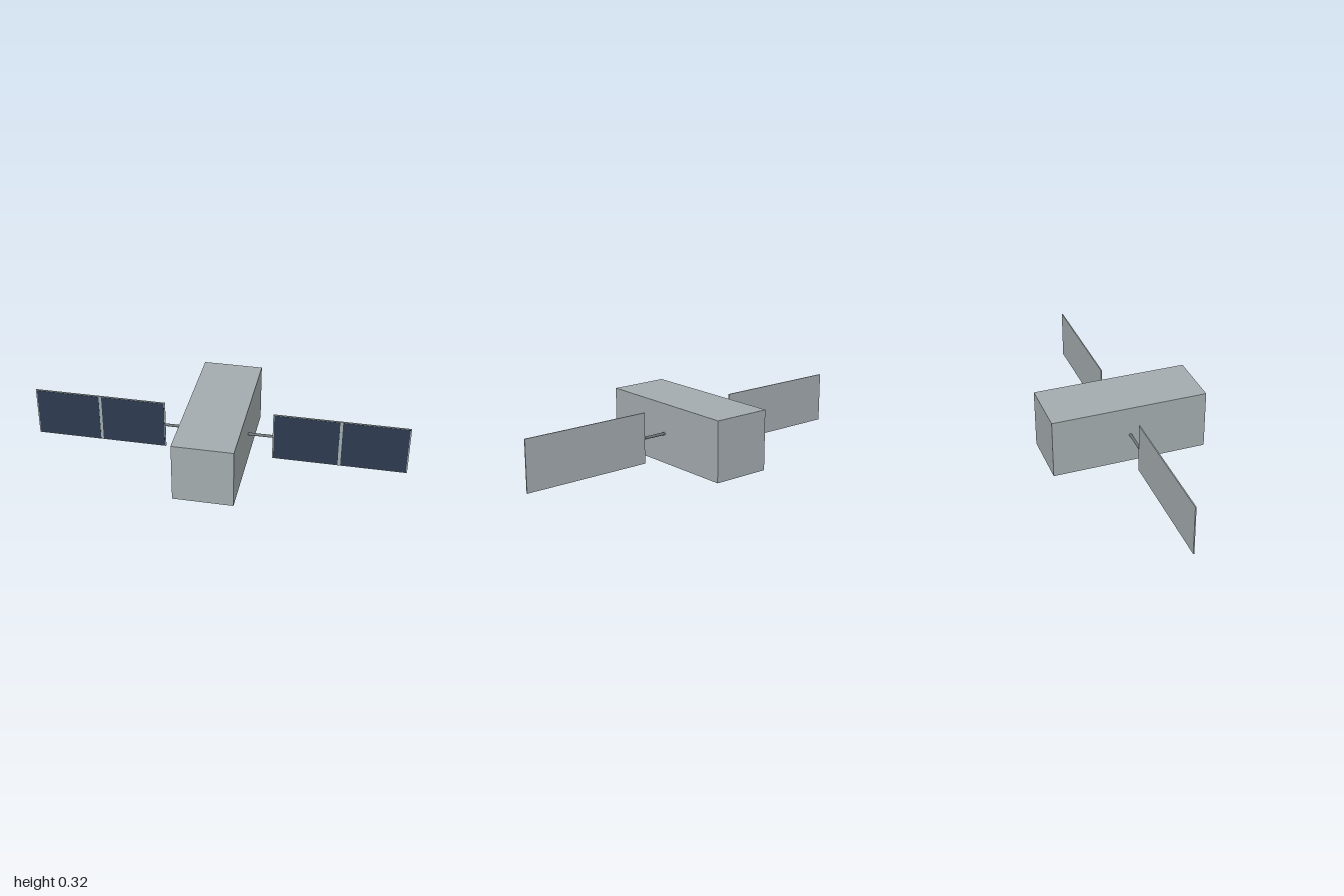
import * as THREE from 'three';

const material = (name, color) => {
  const m = new THREE.MeshStandardMaterial({ color });
  m.name = name;
  return m;
};

export function createModel() {
  const model = new THREE.Group();
  model.name = 'satellite';
  const hull = material('hull grey', 0xa3abae);
  const cellBlue = material('cell navy', 0x2c3a4e);
  const strutGrey = material('strut grey', 0x6e7578);
  const midY = 0.161;

  const add = (parent, name, geometry, mat, x, y, z) => {
    const mesh = new THREE.Mesh(geometry, mat);
    mesh.name = name;
    mesh.position.set(x, y, z);
    parent.add(mesh);
    return mesh;
  };

  // Main body
  add(model, 'body', new THREE.BoxGeometry(0.318, 0.322, 0.84), hull, 0, midY, 0);

  // Wings: strut, backing panel and two solar cells on the front face
  for (const side of [1, -1]) {
    const wing = new THREE.Group();
    wing.name = side > 0 ? 'leftWing' : 'rightWing';
    model.add(wing);

    const strut = add(wing, 'strut', new THREE.CylinderGeometry(0.0075, 0.0075, 0.14, 16),
      strutGrey, side * 0.219, midY, 0);
    strut.rotation.z = Math.PI / 2;

    add(wing, 'panel', new THREE.BoxGeometry(0.711, 0.272, 0.006), hull, side * 0.6445, midY, -0.0005);

    for (const offset of [-0.1785, 0.1785]) {
      add(wing, 'solarCell', new THREE.BoxGeometry(0.342, 0.264, 0.002), cellBlue,
        side * 0.6445 + offset, midY, 0.0028);
    }
  }
  return model;
}
